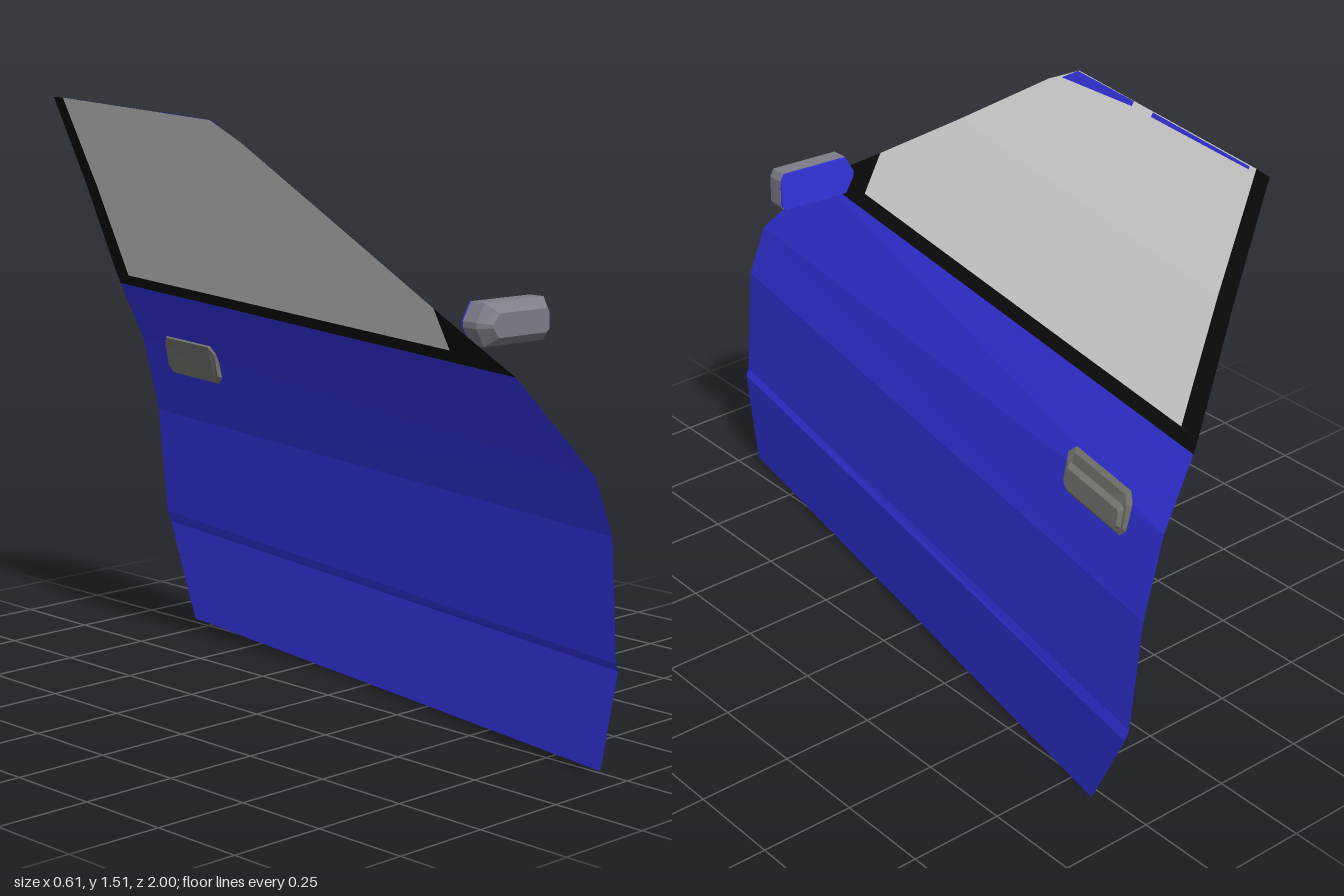
import * as THREE from 'three';

const mat = (name, color, side = THREE.FrontSide) => {
  const m = new THREE.MeshStandardMaterial({ color, side, flatShading: true });
  m.name = name;
  return m;
};

// Curved section of the door: [height, sideways position]; it slants along z.
const SECTION = [[0, 0.13], [0.27, 0.137], [0.29, 0.128], [0.59, 0.108], [0.73, 0.066],
  [0.8, 0.055], [0.95, -0.024], [1.26, -0.19], [1.51, -0.334]];
const SLANT = 0.177;

function skinX(z, y) {
  let i = 0;
  while (i < SECTION.length - 2 && y > SECTION[i + 1][0]) i++;
  const [y0, x0] = SECTION[i], [y1, x1] = SECTION[i + 1];
  return x0 + (x1 - x0) * (y - y0) / (y1 - y0) - SLANT * z;
}

function meshOf(name, triangles, material) {
  const geo = new THREE.BufferGeometry().setFromPoints(triangles);
  geo.computeVertexNormals();
  const mesh = new THREE.Mesh(geo, material);
  mesh.name = name;
  return mesh;
}

// Sheet on the door skin from rows of [front z, front y, rear z, rear y].
function sheet(name, rows, material, offset = 0) {
  const at = (z, y) => new THREE.Vector3(skinX(z, y) + offset, y, z);
  const tris = [];
  for (let i = 0; i < rows.length - 1; i++) {
    const [a, b] = [rows[i], rows[i + 1]];
    const f0 = at(a[0], a[1]), r0 = at(a[2], a[3]);
    const f1 = at(b[0], b[1]), r1 = at(b[2], b[3]);
    tris.push(f0, r0, f1, r0, r1, f1);
  }
  return meshOf(name, tris, material);
}

// Closed solid through matching rings of points, capped at both ends.
function loft(name, rings, material) {
  const tris = [], n = rings[0].length;
  for (let k = 0; k < rings.length - 1; k++) {
    const a = rings[k], b = rings[k + 1];
    for (let i = 0; i < n; i++) {
      const j = (i + 1) % n;
      tris.push(a[i], a[j], b[i], a[j], b[j], b[i]);
    }
  }
  const first = rings[0], last = rings[rings.length - 1];
  for (let i = 1; i < n - 1; i++) {
    tris.push(first[0], first[i + 1], first[i], last[0], last[i], last[i + 1]);
  }
  return meshOf(name, tris, material);
}

// Rectangle with cut corners, anticlockwise.
const octagon = (u, v, hu, hv, c) => [
  [u - hu + c, v - hv], [u + hu - c, v - hv], [u + hu, v - hv + c], [u + hu, v + hv - c],
  [u + hu - c, v + hv], [u - hu + c, v + hv], [u - hu, v + hv - c], [u - hu, v - hv + c]];

export function createModel() {
  const paint = mat('bluePaint', 0x3333e0, THREE.DoubleSide);
  const trim = mat('blackTrim', 0x0c0c0c, THREE.DoubleSide);
  const glass = mat('paleGlass', 0xe0e0e0, THREE.DoubleSide);
  const shell = mat('mirrorGrey', 0x7c7e88);
  const metal = mat('handleGrey', 0x74746f);
  const door = new THREE.Group();
  door.name = 'carDoor';

  // Painted lower panel
  door.add(sheet('doorPanel', [
    [0.95, 0.02, -0.84, 0], [1, 0.27, -0.98, 0.26], [1, 0.29, -0.985, 0.29],
    [1, 0.59, -1, 0.59], [0.98, 0.73, -1, 0.8], [0.78, 0.94, -0.99, 0.97]], paint));

  // Window with its sill, front corner and rear post
  const pane = [[0.55, 0.975, -0.92, 1.0], [0.55, 1.08, -0.904, 1.08],
    [0.27, 1.26, -0.869, 1.26], [0, 1.44, -0.834, 1.44], [-0.1, 1.49, -0.82, 1.51]];
  const postRear = [[-0.985, 1.0], [-0.968, 1.08], [-0.927, 1.26], [-0.886, 1.44], [-0.87, 1.51]];
  door.add(sheet('windowGlass', pane, glass));
  door.add(sheet('windowSill', [[0.78, 0.94, -0.99, 0.97], [0.72, 0.975, -0.985, 1.0]], trim));
  door.add(sheet('frontCorner', [[0.72, 0.975, 0.55, 0.975], [0.55, 1.08, 0.55, 1.08]], trim));
  door.add(sheet('rearPost', pane.map((r, i) => [r[2], r[3], ...postRear[i]]), trim));

  // Painted slivers along the top of the window
  door.add(sheet('topEdgeFront',
    [[-0.05, 1.46, -0.34, 1.487], [-0.1, 1.49, -0.34, 1.498]], paint, 0.004));
  door.add(sheet('topEdgeRear',
    [[-0.42, 1.489, -0.8, 1.503], [-0.42, 1.499, -0.8, 1.509]], paint, 0.004));

  // Handle plate set through the panel, with a raised grip
  const handleRing = (hu, hv, c, off, v = 0.775) => octagon(0.735, v, hu, hv, c)
    .map(([u, y]) => new THREE.Vector3(skinX(-u, y) + off, y, -u));
  door.add(loft('handlePlate', [handleRing(0.13, 0.05, 0.02, -0.008),
    handleRing(0.135, 0.055, 0.02, 0.004), handleRing(0.125, 0.046, 0.018, 0.01)], metal));
  door.add(loft('handleGrip', [handleRing(0.118, 0.03, 0.006, 0.008, 0.768),
    handleRing(0.112, 0.022, 0.006, 0.022, 0.768)], metal));

  // Wing mirror: bevelled shell with a painted back plate
  const outline = [[-0.09, 0.985], [0.1, 0.985], [0.11, 1.0], [0.11, 1.07],
    [0.1, 1.09], [-0.09, 1.09], [-0.115, 1.045], [-0.115, 1.03]];
  const mirrorRing = (s, t, z) => outline.map(([x, y]) => new THREE.Vector3(
    x * s, 1.037 + (y - 1.037) * t, z + 0.08 * x * s));
  const mirror = new THREE.Group();
  mirror.name = 'wingMirror';
  mirror.add(loft('mirrorShell', [mirrorRing(1, 1, 0.582), mirrorRing(1, 1, 0.625),
    mirrorRing(0.8, 0.55, 0.656)], shell));
  mirror.add(loft('mirrorBack', [mirrorRing(0.99, 0.98, 0.577), mirrorRing(0.99, 0.98, 0.583)], paint));
  door.add(mirror);

  return door;
}
